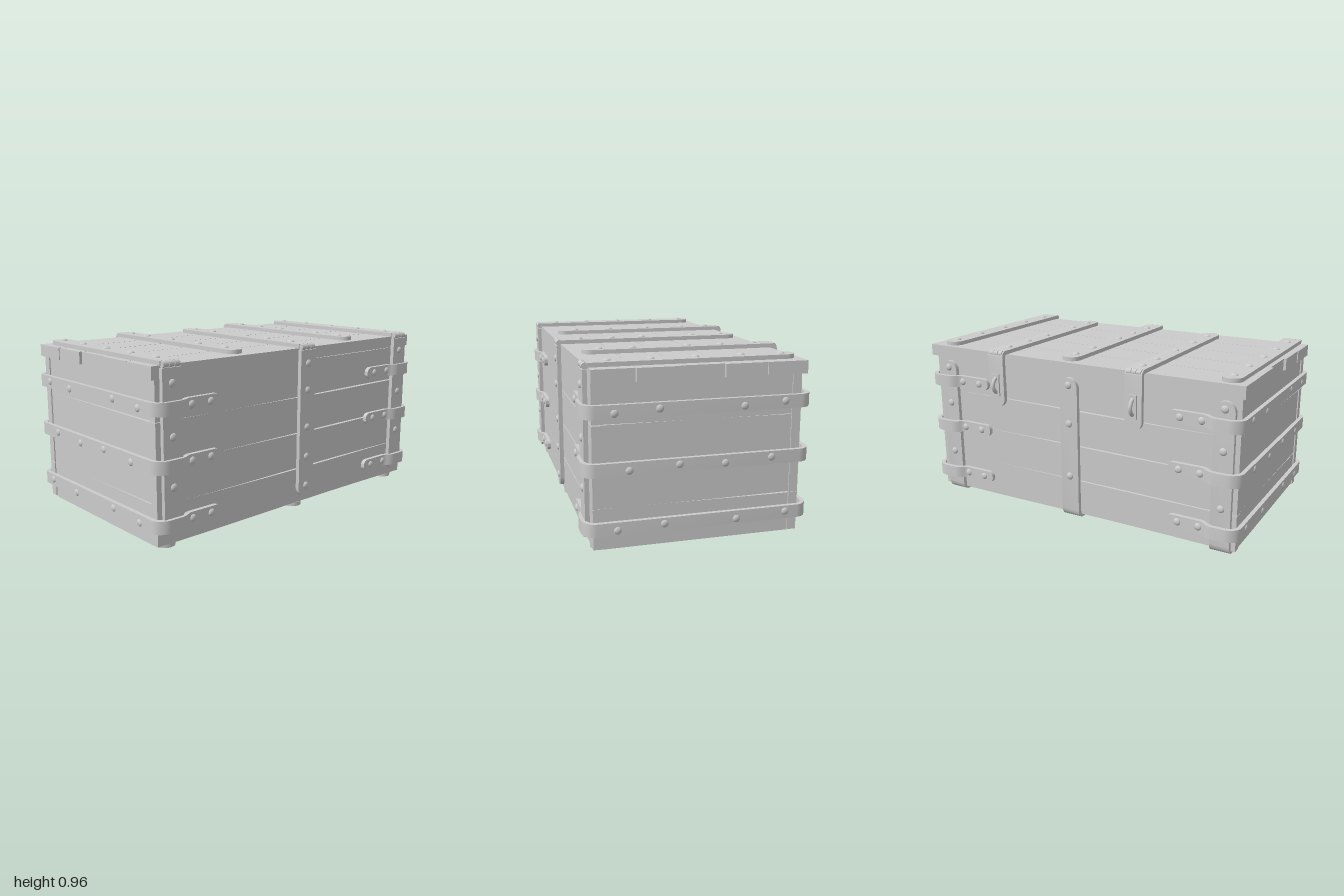
import * as THREE from 'three';
import { toCreasedNormals } from 'three/addons/utils/BufferGeometryUtils.js';

const material = new THREE.MeshStandardMaterial({ color: 0xcccccc });

function add(parent, name, geometry) {
  const mesh = new THREE.Mesh(geometry, material);
  mesh.name = name;
  parent.add(mesh);
  return mesh;
}

// Hand-cut board along z: its two long edges (across axis x) wander slightly
let boardCount = 0;
function boardGeometry(width, thickness, length) {
  const phase = ++boardCount * 1.7;
  const g = new THREE.BoxGeometry(width - 0.004, thickness, length, 1, 1, 10);
  const p = g.attributes.position;
  for (let i = 0; i < p.count; i++) {
    const side = Math.sign(p.getX(i));
    const wobble = 0.003 * Math.sin(p.getZ(i) * 3 + phase + side);
    p.setX(i, p.getX(i) + wobble);
  }
  g.computeVertexNormals();
  return toCreasedNormals(g, 0.5);
}

// Rounds the inner corners of a polyline, then adds points where round ends taper
function strapPath(corners, fillet, tip, roundStart, roundEnd) {
  const pts = corners.map(([a, b]) => new THREE.Vector2(a, b));
  const path = [pts[0]];
  for (let i = 1; i < pts.length - 1; i++) {
    const toPrev = pts[i - 1].clone().sub(pts[i]);
    const toNext = pts[i + 1].clone().sub(pts[i]);
    const r = Math.min(fillet, toPrev.length() * 0.45, toNext.length() * 0.45);
    const curve = new THREE.QuadraticBezierCurve(
      pts[i].clone().addScaledVector(toPrev.normalize(), r), pts[i],
      pts[i].clone().addScaledVector(toNext.normalize(), r));
    path.push(...curve.getPoints(4));
  }
  path.push(pts[pts.length - 1]);
  const stations = path.map((p) => ({ p, half: tip }));
  const taper = (end, next) => {
    const dir = next.clone().sub(end).normalize();
    return [0, 1, 2, 3, 4, 5, 6].map((k) => {
      const t = Math.PI / 2 * k / 6;
      return {
        p: end.clone().addScaledVector(dir, tip * (1 - Math.cos(t))),
        half: Math.max(0.002, tip * Math.sin(t)),
      };
    });
  };
  const n = path.length;
  const first = taper(path[0], path[1]);
  const last = taper(path[n - 1], path[n - 2]).reverse();
  if (roundEnd) stations.splice(n - 1, 1, ...last);
  if (roundStart) stations.splice(0, 1, ...first);
  return stations;
}

// Flat iron strap swept along a path in the xy plane, thickened to the left of travel
function strapGeometry(corners, width, { fillet = 0.03, thick = 0.023, start = true, end = true } = {}) {
  const st = strapPath(corners, fillet, width / 2, start, end);
  const rings = st.map(({ p, half }, i) => {
    const before = i ? p.clone().sub(st[i - 1].p).normalize() : null;
    const after = i < st.length - 1 ? st[i + 1].p.clone().sub(p).normalize() : null;
    const d = (before || after).clone().add(after || before).normalize();
    const stretch = 1 / Math.max(0.6, d.dot(before || after));
    const o = new THREE.Vector2(-d.y, d.x).multiplyScalar(thick * stretch).add(p);
    return [[p.x, p.y, -half], [p.x, p.y, half], [o.x, o.y, half], [o.x, o.y, -half]];
  });
  const out = [];
  const quad = (a, b, c, d) => out.push(...a, ...b, ...c, ...a, ...c, ...d);
  for (let k = 0; k < rings.length - 1; k++) {
    for (let j = 0; j < 4; j++) {
      const m = (j + 1) % 4;
      quad(rings[k][j], rings[k + 1][j], rings[k + 1][m], rings[k][m]);
    }
  }
  quad(...rings[0]);
  quad(...[...rings[rings.length - 1]].reverse());
  const g = new THREE.BufferGeometry();
  g.setAttribute('position', new THREE.Float32BufferAttribute(out, 3));
  g.computeVertexNormals();
  return toCreasedNormals(g, 0.6);
}

// Domed rivet facing along a given direction
const rivetGeometry = new THREE.SphereGeometry(0.021, 14, 6, 0, Math.PI * 2, 0, Math.PI / 2).scale(1, 0.6, 1);
function rivet(parent, position, direction) {
  const mesh = add(parent, 'rivet', rivetGeometry);
  mesh.position.set(...position);
  mesh.quaternion.setFromUnitVectors(new THREE.Vector3(0, 1, 0), new THREE.Vector3(...direction));
}

function group(parent, name) {
  const g = new THREE.Group();
  g.name = name;
  parent.add(g);
  return g;
}

// Hinge barrel of three knuckles along z
function knuckles(parent, x, z, width) {
  for (const k of [-1, 0, 1]) {
    const g = new THREE.CylinderGeometry(0.017, 0.017, width * 0.29, 14).rotateX(Math.PI / 2);
    add(parent, 'hingeKnuckle', g).position.set(x, 0.931, z + k * width * 0.32);
  }
}

export function createModel() {
  const chest = new THREE.Group();
  chest.name = 'chest';
  const edges = [0.035, 0.24, 0.447, 0.653, 0.86];

  // Side, end and floor boards of the hollow body
  const body = group(chest, 'body');
  for (let i = 0; i < 4; i++) {
    const y = (edges[i] + edges[i + 1]) / 2, h = edges[i + 1] - edges[i];
    for (const x of [-0.487, 0.533]) {
      const g = boardGeometry(h, 0.046, 1.93).rotateZ(Math.PI / 2);
      add(body, 'sideBoard', g).position.set(x, y, 0);
    }
    for (const s of [-1, 1]) {
      const g = boardGeometry(h, 0.045, 0.974).rotateZ(Math.PI / 2).rotateY(Math.PI / 2);
      add(body, 'endBoard', g).position.set(0.023, y, s * 0.936);
    }
  }
  for (let i = 0; i < 5; i++) {
    add(body, 'floorBoard', boardGeometry(0.195, 0.04, 1.83)).position.set(0.023 + (i - 2) * 0.195, 0.058, 0);
  }

  // Lid boards, of slightly uneven length
  const lid = group(chest, 'lid');
  const ends = [[-0.998, 0.982], [-0.998, 0.98], [-0.985, 0.966], [-0.998, 0.98], [-0.993, 0.984]];
  ends.forEach(([back, front], i) => {
    const g = boardGeometry(0.219, 0.066, front - back);
    add(lid, 'lidBoard', g).position.set(-0.42 + i * 0.2185, 0.892, (front + back) / 2);
  });

  // Hinge straps: along the lid, over the knuckles and down the left side
  const cornerX = [-0.43, -0.215, 0.02, 0.245, 0.46];
  const hinges = [
    [-0.875, cornerX, [0.84, 0.58, 0.33]],
    [-0.045, [-0.41, -0.23, 0.075, 0.26, 0.45], [0.84, 0.69, 0.48, 0.31, 0.14]],
    [0.885, cornerX, [0.84, 0.58, 0.33]],
  ];
  for (const [z, xs, ys] of hinges) {
    const hinge = group(chest, 'hingeStrap');
    add(hinge, 'topStrap', strapGeometry([[-0.5, 0.924], [0.565, 0.924]], 0.11, { end: false })).position.z = z;
    add(hinge, 'sideStrap', strapGeometry([[0.565, 0.915], [0.565, 0.075]], 0.115, { start: false })).position.z = z;
    knuckles(hinge, 0.573, z, 0.105);
    xs.forEach((x) => rivet(hinge, [x, 0.945, z], [0, 1, 0]));
    ys.forEach((y) => rivet(hinge, [0.586, y, z], [1, 0, 0]));
  }

  // Straps under the floor that turn up the right side
  for (const z of [-0.865, -0.02, 0.885]) {
    const strap = group(chest, 'underStrap');
    const g = strapGeometry([[0.555, 0.037], [-0.512, 0.037], [-0.512, 0.84]], 0.11);
    add(strap, 'strap', g).position.z = z;
    [-0.41, -0.2, 0.03, 0.26, 0.48].forEach((x) => rivet(strap, [x, 0.0135, z], [0, -1, 0]));
    [0.27, 0.58, 0.8].forEach((y) => rivet(strap, [-0.534, y, z], [-1, 0, 0]));
  }

  // Hasps with a hanging ring
  const hasps = [[-0.48, [-0.445, -0.255, -0.065, 0.24, 0.42]], [0.4, [-0.47, -0.305, -0.065, 0.18, 0.4]]];
  for (const [z, xs] of hasps) {
    const hasp = group(chest, 'hasp');
    const g = strapGeometry([[-0.55, 0.62], [-0.55, 0.924], [0.51, 0.924]], 0.1, { fillet: 0.01 });
    add(hasp, 'strap', g).position.z = z;
    knuckles(hasp, -0.556, z, 0.09);
    add(hasp, 'ring', new THREE.TorusGeometry(0.045, 0.011, 10, 28)).position.set(-0.56, 0.75, z);
    add(hasp, 'slotPlate', new THREE.BoxGeometry(0.012, 0.13, 0.045)).position.set(-0.576, 0.75, z);
    add(hasp, 'backPlate', new THREE.BoxGeometry(0.04, 0.1, 0.04)).position.set(-0.53, 0.7, z);
    xs.forEach((x) => rivet(hasp, [x, 0.945, z], [0, 1, 0]));
  }

  // Bands wrapped round both ends, bulging over the upright straps
  const bandPath = [
    [-0.511, 0.58], [-0.511, 0.79], [-0.547, 0.835], [-0.547, 0.935], [-0.52, 0.969],
    [0.56, 0.969], [0.584, 0.935], [0.584, 0.835], [0.557, 0.79], [0.557, 0.58],
  ];
  const bands = [
    [0.143, [-0.435, -0.17, 0.205, 0.44]],
    [0.44, [-0.35, -0.105, 0.13, 0.38]],
    [0.722, [-0.415, -0.2, 0.23, 0.45]],
  ];
  for (const s of [1, -1]) {
    for (const [y, xs] of bands) {
      const band = group(chest, 'endBand');
      const path = s > 0 ? bandPath : bandPath.map(([x, z]) => [x, -z]).reverse();
      const g = strapGeometry(path, 0.068, { fillet: 0.02 }).rotateX(Math.PI / 2);
      add(band, 'strap', g).position.y = y;
      xs.forEach((x, i) => rivet(band, [x, y + (i % 2 ? -0.008 : 0.004), s * 0.988], [0, 0, s]));
      for (const z of [0.645, 0.765]) {
        rivet(band, [0.578, y, s * z], [1, 0, 0]);
        rivet(band, [-0.532, y, s * z], [-1, 0, 0]);
      }
    }
  }
  return chest;
}
